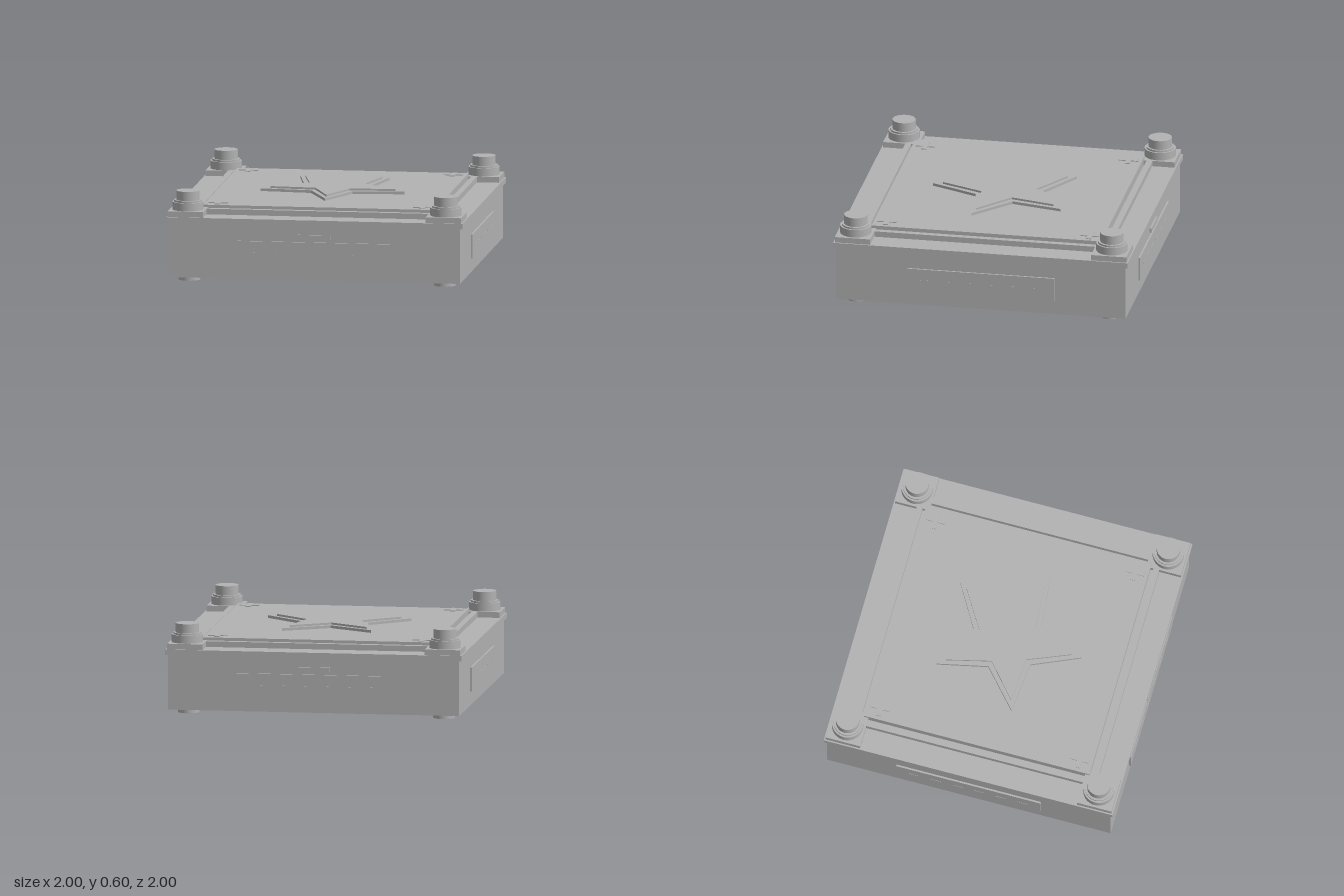
import * as THREE from 'three';

export function createModel() {
  const model = new THREE.Group();
  const grey = new THREE.MeshStandardMaterial({ color: 0xb2b2b2 });
  grey.name = 'plain grey';

  function add(name, geometry, x, y, z, parent = model) {
    const mesh = new THREE.Mesh(geometry, grey);
    mesh.name = name;
    mesh.position.set(x, y, z);
    parent.add(mesh);
    return mesh;
  }
  // Box and cylinder given by their bottom and top heights
  const box = (name, w, d, y0, y1, x = 0, z = 0, parent = model) =>
    add(name, new THREE.BoxGeometry(w, y1 - y0, d), x, (y0 + y1) / 2, z, parent);
  const disc = (name, r, y0, y1, x, z) =>
    add(name, new THREE.CylinderGeometry(r, r, y1 - y0, 32), x, (y0 + y1) / 2, z);

  // Main case, overhanging rim and raised centre panel
  box('body', 1.966, 1.966, 0.03, 0.4);
  box('rim', 2, 2, 0.4, 0.437);
  box('topPanel', 1.56, 1.56, 0.437, 0.492);

  // Corners: foot, plate, stepped post and small cross on the panel
  for (const sx of [-1, 1]) {
    for (const sz of [-1, 1]) {
      const x = sx * 0.87, z = sz * 0.87;
      disc('foot', 0.073, 0, 0.03, sx * 0.862, sz * 0.862);
      box('cornerPlate', 0.24, 0.24, 0.437, 0.475, x, z);
      disc('postBase', 0.105, 0.475, 0.528, x, z);
      disc('postCollar', 0.093, 0.528, 0.54, x, z);
      disc('postCap', 0.078, 0.54, 0.602, x, z);
      box('crossBarAcross', 0.13, 0.035, 0.49, 0.498, sx * 0.69, sz * 0.69);
      box('crossBarAlong', 0.035, 0.13, 0.49, 0.498, sx * 0.69, sz * 0.69);
    }
  }

  // Four sides: rail around the panel and a side plate with slots
  for (let i = 0; i < 4; i++) {
    const side = new THREE.Group();
    side.name = ['frontSide', 'leftSide', 'backSide', 'rightSide'][i];
    side.rotation.y = i * Math.PI / 2;
    model.add(side);
    const endFace = i % 2 === 0;
    box('rail', 1.5, 0.04, 0.437, 0.475, 0, 0.82, side);
    box('sidePlate', endFace ? 1.04 : 1, 0.03, 0.125, 0.287, 0, 0.98, side);
    for (let k = 0; k < 6; k++) {
      box('slotMark', 0.07, 0.004, 0.202, 0.21, (k - 2.5) * 0.15, 0.995, side);
    }
    if (endFace) box('latch', 0.22, 0.03, 0.307, 0.337, 0, 0.98, side);
  }

  // Two stacked stars with one point towards the front
  function star(name, outer, inner, y0, y1) {
    const shape = new THREE.Shape();
    for (let i = 0; i < 10; i++) {
      const r = i % 2 ? inner : outer, a = i * Math.PI / 5;
      const px = r * Math.sin(a), py = -r * Math.cos(a);
      if (i) shape.lineTo(px, py); else shape.moveTo(px, py);
    }
    shape.closePath();
    const geometry = new THREE.ExtrudeGeometry(shape, { depth: y1 - y0, bevelEnabled: false });
    geometry.rotateX(-Math.PI / 2);
    add(name, geometry, 0, y0, 0);
  }
  star('starBase', 0.51, 0.237, 0.49, 0.51);
  star('starTop', 0.442, 0.197, 0.51, 0.523);

  return model;
}
